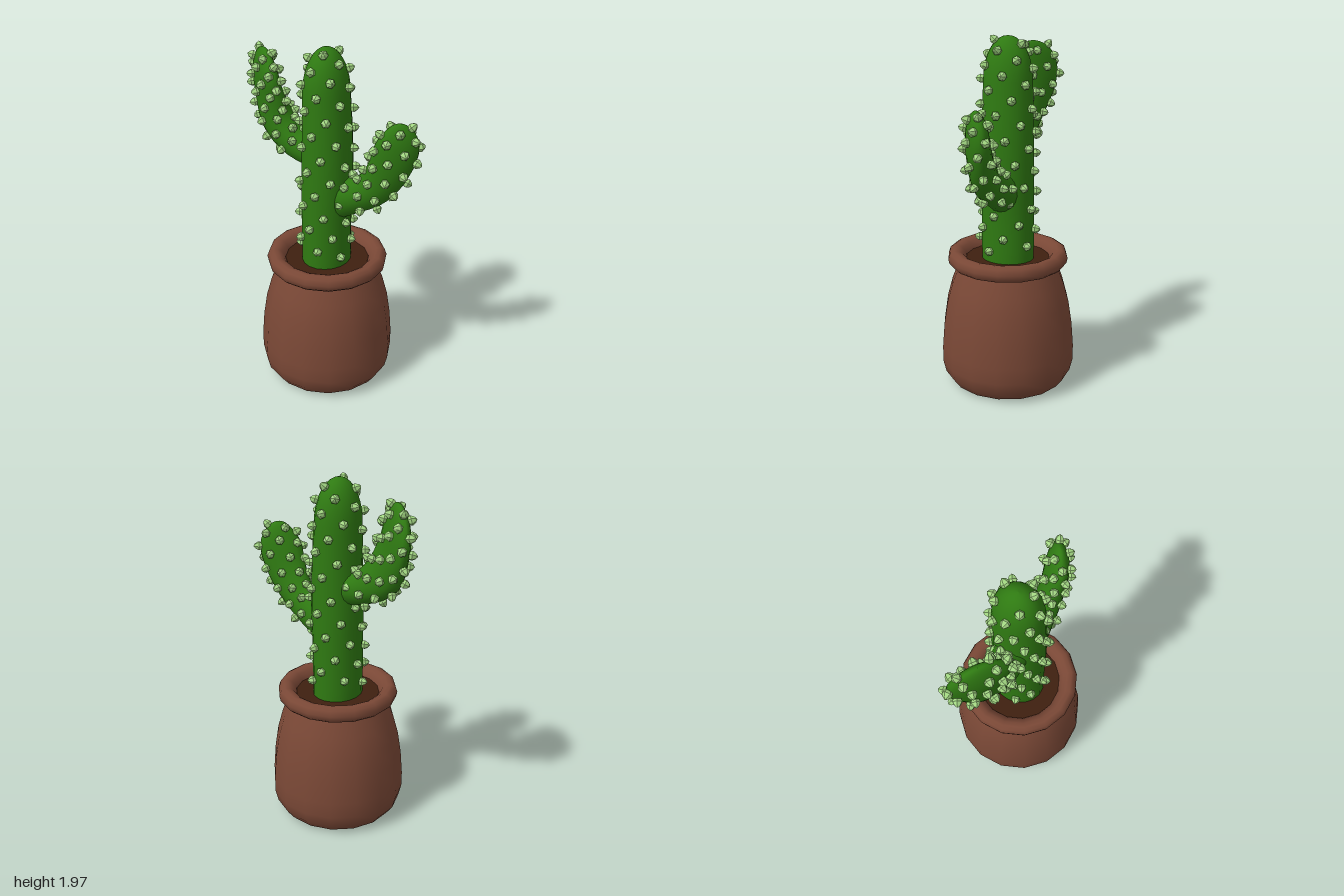
import * as THREE from 'three';
import { mergeGeometries } from 'three/addons/utils/BufferGeometryUtils.js';

const mat = (color, extra = {}) => new THREE.MeshStandardMaterial({ color, ...extra });
const CX = 0.02; // pot axis

// Limb surface from sections [x, y, z, halfWidth, halfDepth, twist], closed by a dome after domeStart
function limbSurface(sections, domeStart) {
  const centre = new THREE.CatmullRomCurve3(sections.map(s => new THREE.Vector3(s[0], s[1], s[2])), false, 'catmullrom', 0.5);
  const size = new THREE.CatmullRomCurve3(sections.map(s => new THREE.Vector3(s[3], s[4], s[5])), false, 'catmullrom', 0.5);
  const point = (s, a) => {
    const c = centre.getPoint(s), t = centre.getTangent(s), r = size.getPoint(s);
    const q = Math.max(0, (s - domeStart) / (1 - domeStart));
    const dome = Math.sqrt(Math.max(0, 1 - Math.pow(q, 2.3)));
    const horizontal = Math.hypot(t.x, t.y);
    const u = new THREE.Vector3(t.y * Math.cos(r.z), -t.x, -t.y * Math.sin(r.z)).divideScalar(horizontal);
    const v = new THREE.Vector3(Math.sin(r.z), 0, Math.cos(r.z));
    return c.addScaledVector(u, r.x * dome * Math.cos(a)).addScaledVector(v, r.y * dome * Math.sin(a));
  };
  const normal = (s, a) => {
    const e = 0.004;
    const ds = point(s + e, a).sub(point(s - e, a));
    const da = point(s, a + e).sub(point(s, a - e));
    return ds.cross(da).normalize();
  };
  return { point, normal };
}

function limbGeometry(surface, rows = 26, sides = 18) {
  const pos = [], index = [];
  for (let i = 0; i <= rows; i++) {
    const s = 1 - Math.pow(1 - i / rows, 1.7); // finer rows toward the dome
    for (let j = 0; j < sides; j++) pos.push(...surface.point(s, (j / sides) * Math.PI * 2).toArray());
  }
  for (let i = 0; i < rows; i++) {
    for (let j = 0; j < sides; j++) {
      const a = i * sides + j, b = i * sides + (j + 1) % sides;
      index.push(a, a + sides, b, b, a + sides, b + sides);
    }
  }
  const g = new THREE.BufferGeometry();
  g.setAttribute('position', new THREE.Float32BufferAttribute(pos, 3));
  g.setIndex(index);
  g.computeVertexNormals();
  return g;
}

// Faceted spines spread over a limb in a golden-angle spiral
function spineGeometry(surface, count, from, to, phase) {
  const bud = new THREE.LatheGeometry(
    [[0.019, -0.012], [0.026, 0.012], [0.015, 0.03], [0, 0.04]].map(p => new THREE.Vector2(...p)), 6);
  const up = new THREE.Vector3(0, 1, 0), one = new THREE.Vector3(1, 1, 1);
  const buds = [];
  for (let i = 0; i < count; i++) {
    const s = from + (to - from) * (i / (count - 1)), a = phase + i * 2.39996;
    const q = new THREE.Quaternion().setFromUnitVectors(up, surface.normal(s, a));
    buds.push(bud.clone().applyMatrix4(new THREE.Matrix4().compose(surface.point(s, a), q, one)));
  }
  return mergeGeometries(buds);
}

export function createModel() {
  const model = new THREE.Group();
  const add = (name, geometry, material, parent = model) => {
    const mesh = new THREE.Mesh(geometry, material);
    mesh.name = name;
    parent.add(mesh);
    return mesh;
  };
  const clay = mat(0x7a4836, { side: THREE.DoubleSide });
  const green = mat(0x2f7a12);
  const pale = mat(0xa2d682, { flatShading: true });
  const lathe = pts => new THREE.LatheGeometry(pts.map(p => new THREE.Vector2(...p)), 16, Math.PI / 16);

  // Pot: slightly recessed foot, full belly, narrow neck
  const pot = new THREE.Group();
  pot.name = 'pot';
  pot.position.x = CX;
  model.add(pot);
  add('potBody', lathe([[0, 0.022], [0.215, 0.022], [0.245, 0.004], [0.285, 0], [0.325, 0.015], [0.362, 0.065],
    [0.378, 0.13], [0.379, 0.22], [0.368, 0.36], [0.348, 0.49], [0.318, 0.6], [0.272, 0.715]]), clay, pot);
  add('potRim', lathe([[0.27, 0.703], [0.315, 0.706], [0.332, 0.722], [0.338, 0.75], [0.328, 0.78], [0.305, 0.793],
    [0.28, 0.79], [0.258, 0.778], [0.238, 0.75], [0.23, 0.72]]), clay, pot);
  const soil = add('soil', new THREE.CircleGeometry(0.245, 16, Math.PI / 16), mat(0x3f2010), pot);
  soil.rotation.x = -Math.PI / 2;
  soil.position.y = 0.74;

  // Cactus limbs: round trunk and two arms that flatten and twist toward their tips
  const limbs = [
    { name: 'trunk', dome: 0.8, spines: [72, 0.06, 0.975, 0.4], sections: [
      [0.018, 0.73, 0, 0.133, 0.148, 0], [0.018, 0.98, 0, 0.133, 0.148, 0], [0.022, 1.23, 0, 0.138, 0.148, 0],
      [0.022, 1.48, 0, 0.133, 0.144, 0], [0.016, 1.73, 0, 0.122, 0.136, 0], [0.012, 1.97, 0, 0.11, 0.13, 0]] },
    { name: 'rightArm', dome: 0.68, spines: [50, 0.17, 0.965, 1.1], sections: [
      [-0.03, 1.38, 0, 0.1, 0.095, 0], [-0.17, 1.415, 0.005, 0.095, 0.09, -0.1], [-0.285, 1.51, 0.005, 0.125, 0.075, -0.35],
      [-0.345, 1.64, 0, 0.16, 0.062, -0.6], [-0.37, 1.77, 0, 0.18, 0.055, -0.66], [-0.375, 1.9, 0, 0.165, 0.05, -0.66]] },
    { name: 'leftArm', dome: 0.7, spines: [42, 0.2, 0.965, 2.3], sections: [
      [0.07, 1.13, 0, 0.12, 0.1, 0], [0.2, 1.185, 0, 0.1, 0.09, 0.1], [0.315, 1.26, 0.005, 0.1, 0.08, 0.3],
      [0.395, 1.38, 0.005, 0.112, 0.07, 0.55], [0.44, 1.52, 0, 0.12, 0.06, 0.63], [0.455, 1.65, 0, 0.105, 0.055, 0.63]] },
  ];
  for (const { name, dome, spines, sections } of limbs) {
    const limb = new THREE.Group();
    limb.name = name;
    model.add(limb);
    const surface = limbSurface(sections, dome);
    add(name + 'Body', limbGeometry(surface), green, limb);
    add(name + 'Spines', spineGeometry(surface, ...spines), pale, limb);
  }
  return model;
}
